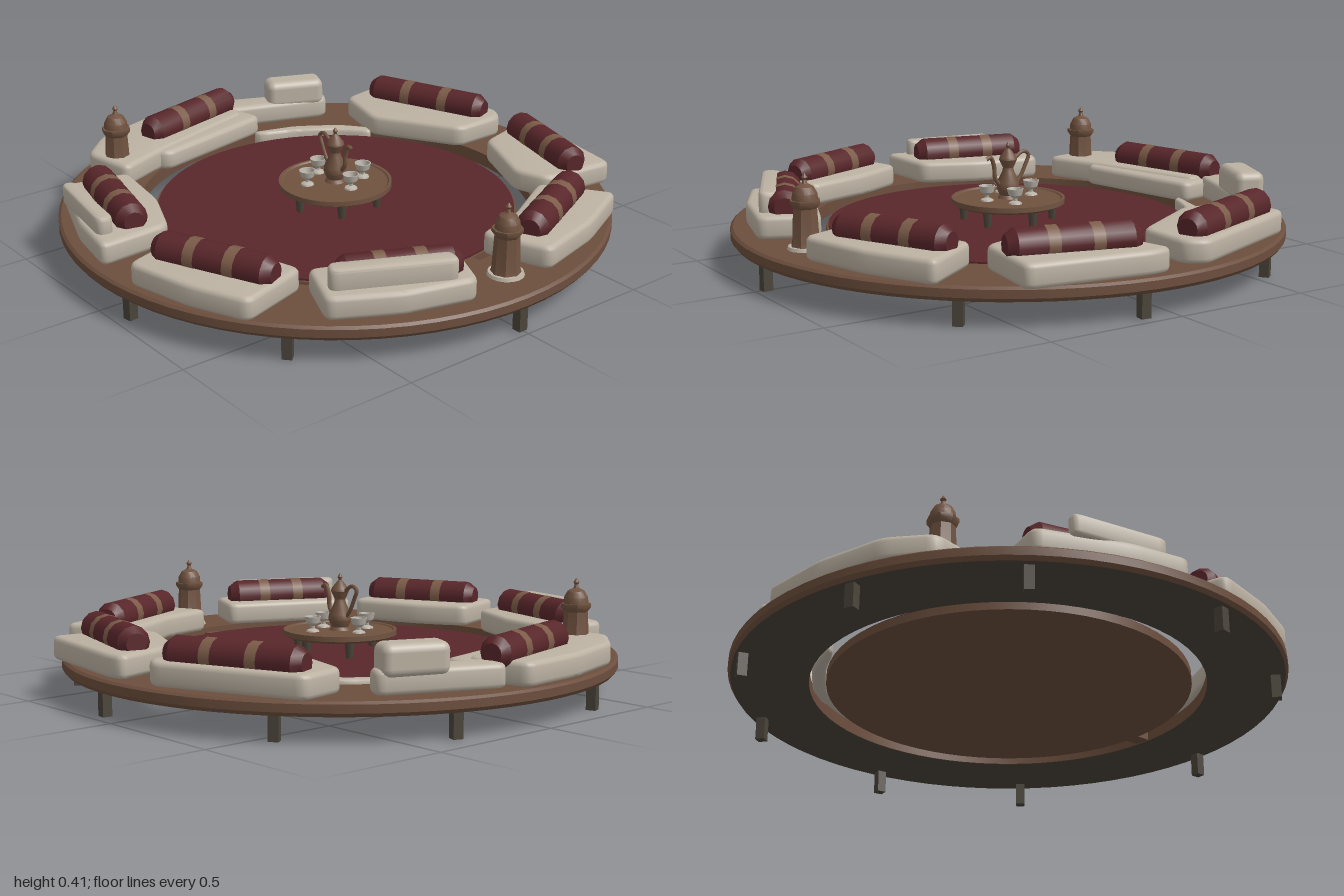
import * as THREE from 'three';
import { toCreasedNormals } from 'three/addons/utils/BufferGeometryUtils.js';
import { RoundedBoxGeometry } from 'three/addons/geometries/RoundedBoxGeometry.js';

const mat = (name, color, side = THREE.FrontSide) => new THREE.MeshStandardMaterial({ name, color, side });

export function createModel() {
  const wood = mat('wood', 0x6c4e3d);
  const dark = mat('dark wood', 0x4a443a);
  const red = mat('red cloth', 0x58262a);
  const cream = mat('cream cloth', 0xbcb2a3);
  const band = mat('tan band', 0x7b5c48);
  const bronze = mat('bronze', 0x70523f);
  const silver = mat('cup', 0xb8b2a8, THREE.DoubleSide);

  const model = new THREE.Group();
  const add = (name, geo, material, x = 0, y = 0, z = 0, parent = model) => {
    const m = new THREE.Mesh(geo, material);
    m.name = name;
    m.position.set(x, y, z);
    parent.add(m);
    return m;
  };
  const lathe = (pts, sides, crease = 0.6) =>
    toCreasedNormals(new THREE.LatheGeometry(pts.map(p => new THREE.Vector2(...p)), sides), crease);

  // ring platform with dark underside
  add('ringPlatform', lathe([[0.71, 0.087], [0.985, 0.087], [0.995, 0.1], [0.995, 0.128],
    [0.985, 0.136], [0.71, 0.136], [0.71, 0.087]], 72), wood);
  add('ringUnderside', new THREE.RingGeometry(0.71, 0.985, 72).rotateX(Math.PI / 2), dark, 0, 0.085, 0);

  // platform legs, mirrored left and right
  const legSpots = [[0, 0.96], [0.70, 0.64], [0.945, 0.11], [0.77, -0.55], [0.33, -0.9]];
  for (const [x, z] of legSpots)
    for (const s of x ? [1, -1] : [1]) {
      const leg = add('platformLeg', new THREE.BoxGeometry(0.034, 0.09, 0.034), dark, s * x, 0.045, z);
      leg.rotation.y = Math.atan2(s * x, z);
    }

  // round floor with carpet, joined to the ring by a small bridge
  add('floorDisc', new THREE.CylinderGeometry(0.653, 0.653, 0.03, 64), wood, 0, 0.104, 0.004);
  add('carpet', new THREE.CylinderGeometry(0.645, 0.645, 0.007, 64), red, 0, 0.1225, 0.004);
  add('floorBridge', new THREE.BoxGeometry(0.06, 0.03, 0.1), wood, 0.045, 0.104, 0.69);

  // soft pad from an outline of [x, z] corners, rounded and bevelled
  const pad = (name, pts, y0, y1, bevel = 0.018) => {
    const p = pts.map(([x, z]) => new THREE.Vector2(x, -z));
    const shape = new THREE.Shape();
    p.forEach((c, i) => {
      const prev = p[(i + p.length - 1) % p.length], next = p[(i + 1) % p.length];
      const a = c.clone().lerp(prev, Math.min(0.4, 0.035 / c.distanceTo(prev)));
      const b = c.clone().lerp(next, Math.min(0.4, 0.035 / c.distanceTo(next)));
      if (i) shape.lineTo(a.x, a.y); else shape.moveTo(a.x, a.y);
      shape.quadraticCurveTo(c.x, c.y, b.x, b.y);
    });
    shape.closePath();
    const geo = new THREE.ExtrudeGeometry(shape, {
      depth: y1 - y0 - 2 * bevel, bevelThickness: bevel, bevelSize: bevel,
      bevelOffset: -bevel, bevelSegments: 3, curveSegments: 4,
    });
    geo.translate(0, 0, bevel).rotateX(-Math.PI / 2);
    return add(name, toCreasedNormals(geo, 0.7), cream, 0, y0, 0);
  };

  // bolster between two end points, with two tan bands
  const bolster = (name, [x0, z0], [x1, z1]) => {
    const g = new THREE.Group();
    g.name = name;
    const len = Math.hypot(x1 - x0, z1 - z0), h = len / 2, r = 0.058;
    add('bolsterRoll', lathe([[0, -h], [0.036, -h], [r, 0.03 - h], [r, h - 0.03], [0.036, h], [0, h]], 12), red, 0, 0, 0, g);
    for (const t of [0.34, 0.67])
      add('bolsterBand', new THREE.CylinderGeometry(r + 0.0015, r + 0.0015, 0.04, 12, 1, true), band, 0, (t - 0.5) * len, 0, g);
    g.children.forEach(m => {
      m.geometry.rotateZ(-Math.PI / 2);
      m.position.set(m.position.y, 0, 0);
    });
    g.position.set((x0 + x1) / 2, 0.236, (z0 + z1) / 2);
    g.rotation.y = Math.atan2(z0 - z1, x1 - x0);
    model.add(g);
  };

  // seats: outline, then bolster ends
  const seats = [
    ['rightFront', [[0.68, 0.07], [0.95, 0], [0.96, 0.08], [0.89, 0.52], [0.60, 0.48], [0.555, 0.35]], [0.85, 0.06], [0.73, 0.49]],
    ['rightBack', [[0.56, -0.63], [0.74, -0.66], [0.945, -0.15], [0.90, -0.08], [0.69, -0.08], [0.50, -0.40]], [0.68, -0.6], [0.86, -0.13]],
    ['frontRight', [[0.09, 0.67], [0.30, 0.62], [0.54, 0.49], [0.70, 0.72], [0.45, 0.84], [0.18, 0.91]], [0.20, 0.79], [0.60, 0.60]],
    ['frontLeft', [[-0.53, 0.52], [-0.30, 0.62], [-0.06, 0.72], [-0.15, 0.92], [-0.40, 0.85], [-0.62, 0.73]], [-0.51, 0.64], [-0.14, 0.82]],
    ['leftFront', [[-0.96, 0.13], [-0.72, 0.06], [-0.62, 0.25], [-0.54, 0.51], [-0.81, 0.59], [-0.90, 0.38]], [-0.84, 0.12], [-0.66, 0.53]],
    ['leftBack', [[-0.80, -0.56], [-0.56, -0.51], [-0.60, -0.25], [-0.69, -0.04], [-0.96, -0.03], [-0.92, -0.25]], [-0.70, -0.50], [-0.80, -0.08]],
    ['back', [[-0.58, -0.76], [-0.45, -0.88], [-0.2, -0.95], [0.07, -0.97], [0.13, -0.75], [-0.35, -0.62], [-0.54, -0.55]], [-0.32, -0.75], [0.13, -0.86]],
  ];
  for (const [name, outline, a, b] of seats) {
    pad(name + 'Seat', outline, 0.133, 0.216);
    bolster(name + 'Bolster', a, b);
  }

  // extra pads and back pillows
  pad('backSeatFront', [[-0.38, -0.67], [0.14, -0.82], [0.17, -0.69], [-0.33, -0.59]], 0.133, 0.208);
  pad('backRightSeat', [[0.12, -0.93], [0.53, -0.75], [0.49, -0.67], [0.10, -0.81]], 0.133, 0.216);
  pad('innerRoll', [[0.13, -0.69], [0.30, -0.64], [0.45, -0.54], [0.53, -0.44], [0.50, -0.40],
    [0.42, -0.50], [0.27, -0.60], [0.14, -0.655]], 0.09, 0.15, 0.01);
  pad('frontLeftPillow', [[-0.58, 0.70], [-0.545, 0.64], [-0.18, 0.82], [-0.2, 0.89]], 0.2, 0.287, 0.014);
  pad('leftBackPillow', [[-0.87, -0.45], [-0.82, -0.44], [-0.87, -0.09], [-0.93, -0.10]], 0.2, 0.275, 0.014);
  const pillow = add('backRightPillow', new RoundedBoxGeometry(0.23, 0.11, 0.11, 3, 0.03), cream, 0.39, 0.243, -0.765);
  pillow.rotation.y = -0.4;

  // central table
  add('tableTop', lathe([[0, 0.182], [0.19, 0.182], [0.205, 0.19], [0.205, 0.208], [0.195, 0.208],
    [0.19, 0.203], [0, 0.203]], 40), bronze);
  for (let i = 0; i < 6; i++) {
    const a = (i + 0.5) * Math.PI / 3;
    add('tableLeg', new THREE.CylinderGeometry(0.018, 0.012, 0.06, 8), dark, 0.16 * Math.sin(a), 0.154, 0.16 * Math.cos(a));
  }

  // coffee pot with curved spout and handle
  const pot = new THREE.Group();
  pot.name = 'coffeePot';
  model.add(pot);
  add('potBody', lathe([[0, 0.203], [0.038, 0.203], [0.03, 0.215], [0.042, 0.24], [0.04, 0.262], [0.022, 0.3],
    [0.019, 0.315], [0.033, 0.345], [0.03, 0.355], [0.012, 0.378], [0.005, 0.385], [0.009, 0.396], [0, 0.41]], 16), bronze, 0, 0, 0, pot);
  const tube = (name, pts, r) => add(name, new THREE.TubeGeometry(
    new THREE.CatmullRomCurve3(pts.map(([z, y]) => new THREE.Vector3(0, y, z))), 20, r, 8), bronze, 0, 0, 0, pot);
  tube('potSpout', [[0.03, 0.25], [0.055, 0.28], [0.06, 0.325], [0.075, 0.358], [0.095, 0.352]], 0.008);
  tube('potHandle', [[-0.035, 0.255], [-0.055, 0.28], [-0.075, 0.32], [-0.088, 0.355], [-0.065, 0.368], [-0.025, 0.345]], 0.007);

  // stemmed cups
  for (const [x, z] of [[0, -0.1], [-0.1, -0.035], [0.1, 0.035], [0, 0.09]])
    add('cup', lathe([[0, 0], [0.024, 0], [0.022, 0.005], [0.007, 0.012], [0.008, 0.02], [0.024, 0.032],
      [0.03, 0.055], [0.026, 0.055], [0.02, 0.034], [0, 0.028]], 14), silver, x, 0.203, z);

  // tall urns standing on the ring
  const urn = (x, y, z) => {
    const g = new THREE.Group();
    g.name = 'urn';
    g.position.set(x, y, z);
    model.add(g);
    add('urnBase', new THREE.CylinderGeometry(0.06, 0.064, 0.012, 16), cream, 0, 0.006, 0, g);
    add('urnBody', lathe([[0, 0.01], [0.052, 0.01], [0.048, 0.025], [0.042, 0.14], [0.053, 0.155],
      [0.053, 0.168], [0, 0.168]], 8), bronze, 0, 0, 0, g);
    add('urnLid', lathe([[0.044, 0.165], [0.042, 0.19], [0.03, 0.212], [0.01, 0.222], [0.006, 0.235],
      [0.011, 0.243], [0, 0.258]], 12), bronze, 0, 0, 0, g);
  };
  urn(0.05, 0.135, 0.835);
  urn(-0.5, 0.155, -0.68);

  return model;
}
